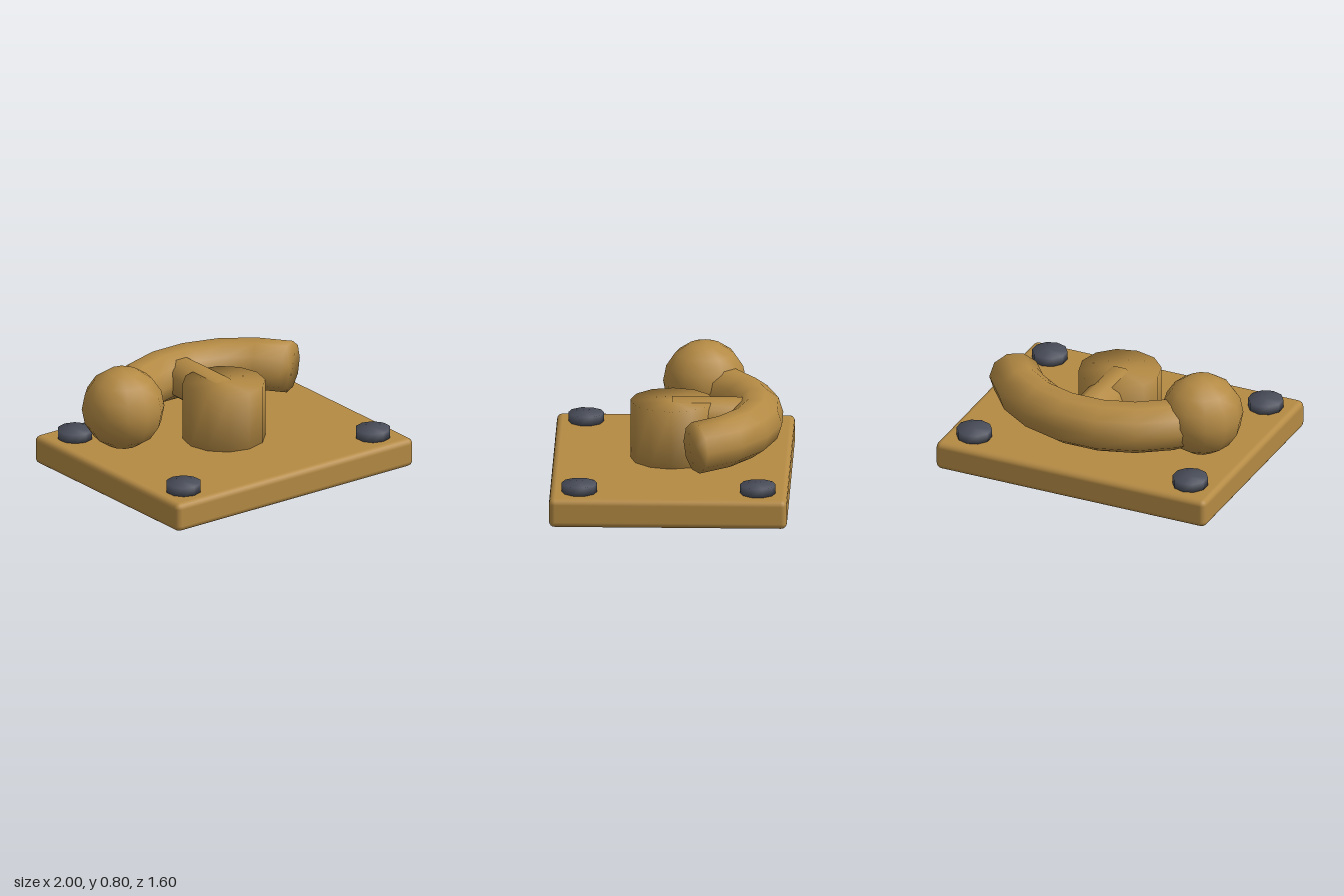
import * as THREE from 'three';
import { mergeGeometries, mergeVertices } from 'three/addons/utils/BufferGeometryUtils.js';
import { RoundedBoxGeometry } from 'three/addons/geometries/RoundedBoxGeometry.js';

// Weld all corners so the shading runs smoothly over every edge
function soften(geometry) {
  geometry.deleteAttribute('normal');
  geometry.deleteAttribute('uv');
  const welded = mergeVertices(geometry, 1e-4);
  welded.computeVertexNormals();
  return welded;
}

export function createModel() {
  const brass = new THREE.MeshStandardMaterial({ name: 'brass', color: 0xb48a44 });
  const darkSteel = new THREE.MeshStandardMaterial({ name: 'darkSteel', color: 0x4a4e5a });
  const model = new THREE.Group();
  model.name = 'leverOnPlate';

  const add = (name, geometry, material, x, y, z) => {
    const mesh = new THREE.Mesh(geometry, material);
    mesh.name = name;
    mesh.position.set(x, y, z);
    model.add(mesh);
    return mesh;
  };

  // Base plate with softly rounded edges
  add('basePlate', new RoundedBoxGeometry(2, 0.2, 1.6, 2, 0.04), brass, 0, 0.1, 0);

  // Four bolt heads near the corners
  const boltGeometry = soften(new THREE.CylinderGeometry(0.12, 0.12, 0.06, 10));
  for (const [side, sx] of [['Left', 1], ['Right', -1]]) {
    for (const [end, sz] of [['front', 1], ['back', -1]]) {
      add(`${end}${side}Bolt`, boltGeometry, darkSteel, 0.8 * sx, 0.23, 0.6 * sz);
    }
  }

  // Central hub
  add('hub', soften(new THREE.CylinderGeometry(0.28, 0.28, 0.4, 12)), brass, 0, 0.4, 0);

  // Spoke from the hub to the curved handle
  const spoke = new THREE.CylinderGeometry(0.14, 0.14, 0.58, 10);
  spoke.rotateY(Math.PI / 2).rotateX(-Math.PI / 2);
  add('spoke', soften(spoke), brass, 0, 0.48, -0.29);

  // Curved handle: a third of a ring, closed at both ends
  const arc = (Math.PI * 2) / 3;
  const radius = 0.8, thickness = 0.175;
  const handle = mergeGeometries([
    new THREE.TorusGeometry(radius, thickness, 10, 7, arc),
    new THREE.CircleGeometry(thickness, 10).rotateX(Math.PI / 2).translate(radius, 0, 0),
    new THREE.CircleGeometry(thickness, 10).rotateX(-Math.PI / 2).translate(radius, 0, 0).rotateZ(arc),
  ]);
  handle.rotateZ(Math.PI / 6).rotateX(-Math.PI / 2);
  add('curvedHandle', soften(handle), brass, 0, 0.48, 0.22);

  // Ball knob on the right end of the handle
  add('ballKnob', soften(new THREE.SphereGeometry(0.28, 12, 8)), brass, -0.7, 0.52, -0.2);

  return model;
}
